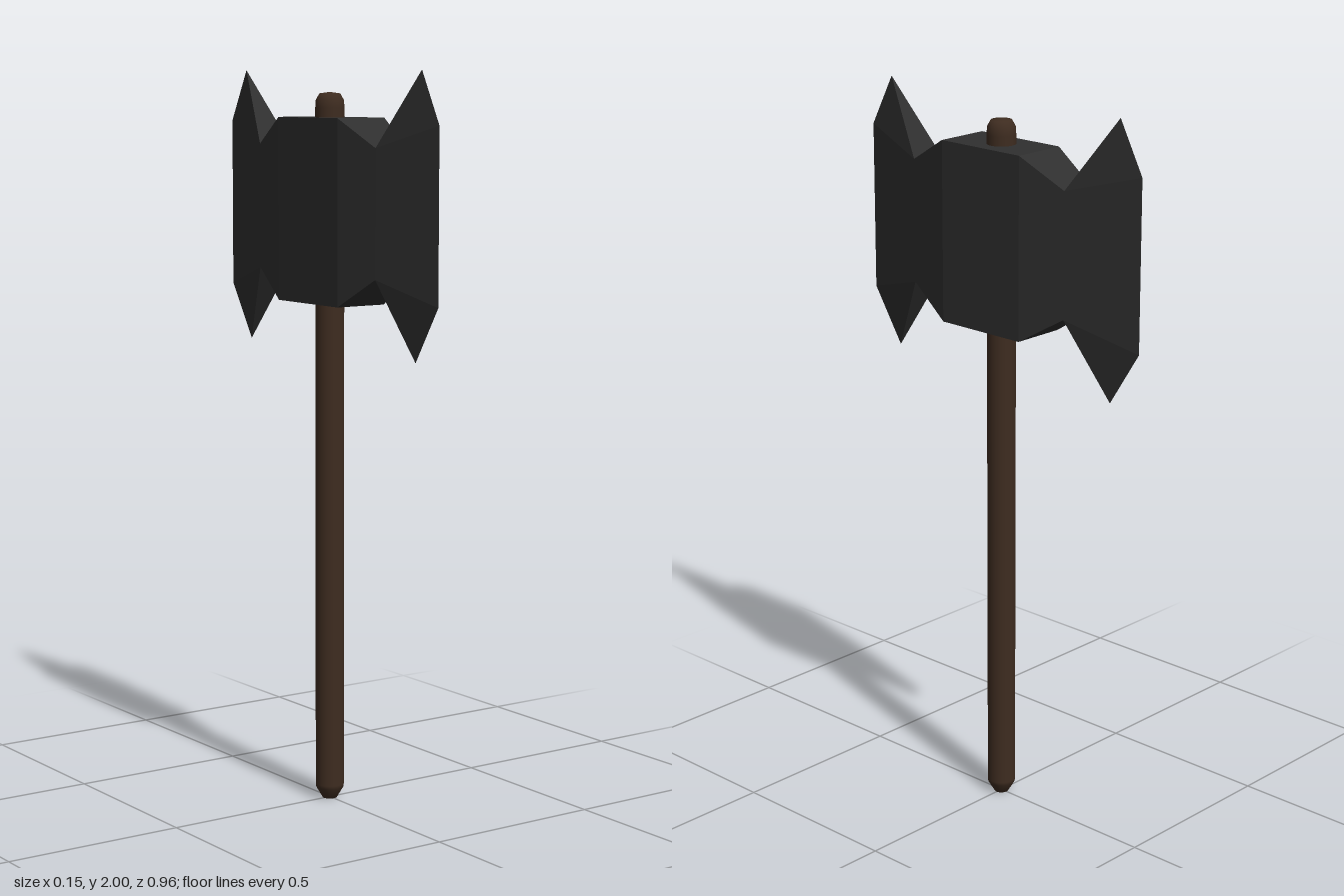
import * as THREE from 'three';

// One end of the double head, as quadrants mirrored over x; dir is +1 (front) or -1 (back)
function headEnd(dir, bodyZ, notchZ, material) {
  const pos = [];
  const topY = 1.875, bottomY = 1.38, bodyX = 0.076, notchX = 0.049;
  for (const sx of [1, -1]) {
    const face = (...pts) => {
      const p = pts.map(([x, y, z]) => [x * sx, y, z * dir]);
      if (sx * dir < 0) p.reverse();
      for (let i = 1; i < p.length - 1; i++) pos.push(...p[0], ...p[i], ...p[i + 1]);
    };
    const cT = [bodyX, topY, 0], cB = [bodyX, bottomY, 0];
    const aT = [bodyX, topY, bodyZ], aB = [bodyX, bottomY, bodyZ];
    const nT = [notchX, 1.8, notchZ], nB = [notchX, 1.46, notchZ];
    const tT = [0, 2, 0.407], tB = [0, 1.25, 0.386];
    const eT = [0, 1.86, 0.481], eB = [0, 1.4, 0.481];
    const mid = ([, y, z]) => [0, y, z];

    // cheeks and blade
    face(cT, aT, aB, cB);
    face(aT, nT, nB, aB);
    face(nT, eT, eB, nB);
    face(nT, tT, eT);
    face(nB, eB, tB);
    // top edge
    face(mid(cT), mid(aT), aT, cT);
    face(mid(aT), mid(nT), nT, aT);
    face(mid(nT), tT, nT);
    // bottom edge
    face(cB, aB, mid(aB), mid(cB));
    face(aB, nB, mid(nB), mid(aB));
    face(nB, tB, mid(nB));
  }
  const geo = new THREE.BufferGeometry();
  geo.setAttribute('position', new THREE.Float32BufferAttribute(pos, 3));
  geo.computeVertexNormals();
  return new THREE.Mesh(geo, material);
}

export function createModel() {
  const iron = new THREE.MeshStandardMaterial({ color: 0x2f2f2f });
  iron.name = 'dark iron';
  const wood = new THREE.MeshStandardMaterial({ color: 0x3e2c20 });
  wood.name = 'dark wood';

  const model = new THREE.Group();
  model.name = 'doubleAxe';

  // double-bladed head
  const head = new THREE.Group();
  head.name = 'axeHead';
  const front = headEnd(1, 0.143, 0.275, iron);
  front.name = 'frontBlade';
  const back = headEnd(-1, 0.133, 0.265, iron);
  back.name = 'backBlade';
  head.add(front, back);

  // round handle with bevelled ends
  const profile = [
    [0, 0], [0.02, 0], [0.038, 0.03], [0.039, 0.04],
    [0.039, 1.9], [0.038, 1.92], [0.028, 1.938], [0, 1.942],
  ].map(([r, y]) => new THREE.Vector2(r, y));
  const handle = new THREE.Mesh(new THREE.LatheGeometry(profile, 20), wood);
  handle.name = 'handle';

  model.add(head, handle);
  return model;
}
